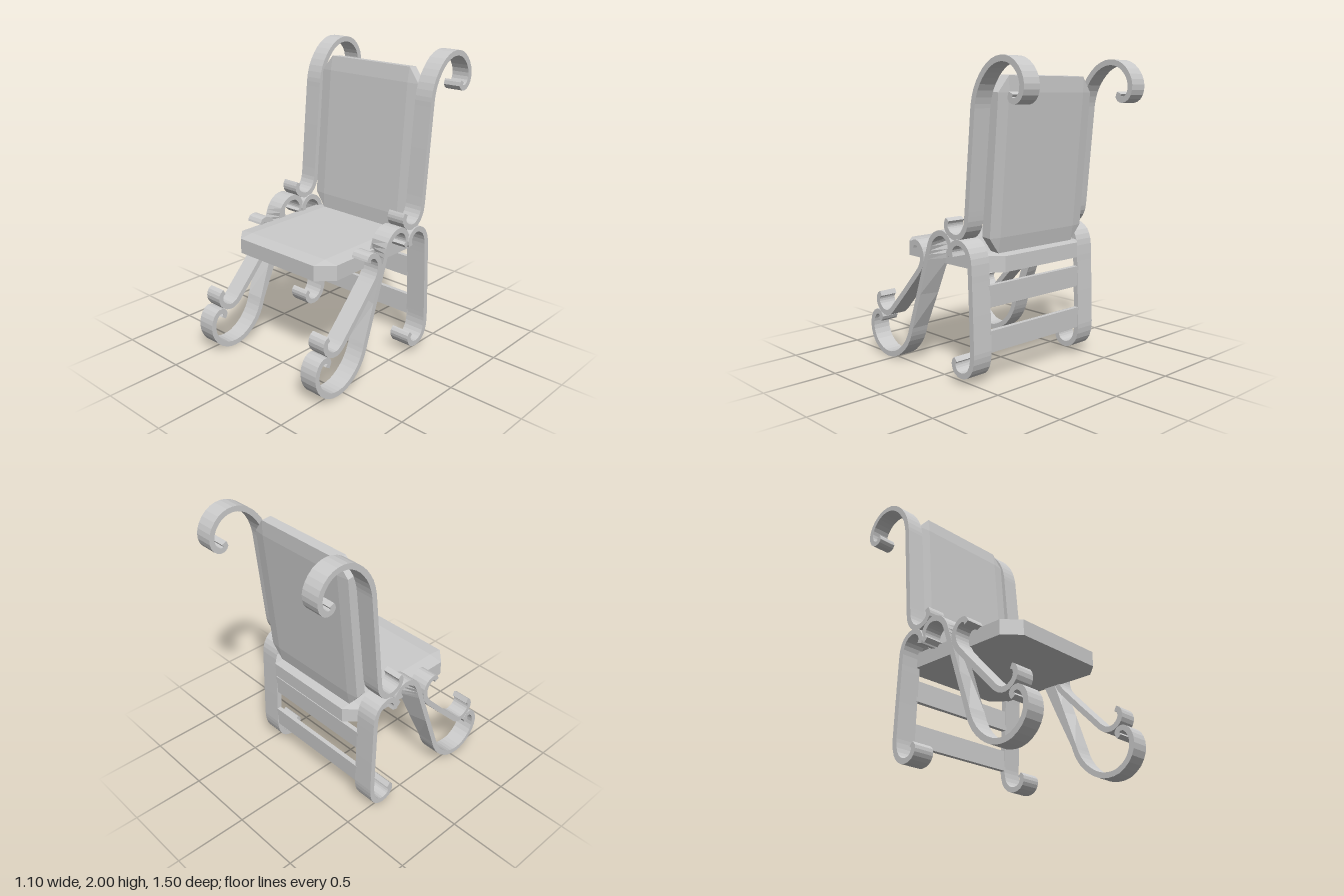
import * as THREE from 'three';
import { ConvexGeometry } from 'three/addons/geometries/ConvexGeometry.js';

const material = new THREE.MeshStandardMaterial({ color: 0xcccccc, flatShading: true });

// Scrolled flat bar: centreline given as [z, y], extruded across x
function barGeometry(points, x0, x1, thickness = 0.036) {
  const curve = new THREE.CatmullRomCurve3(
    points.map(([z, y]) => new THREE.Vector3(z, y, 0)), false, 'centripetal');
  const n = (points.length - 1) * 2;
  const sideA = [], sideB = [];
  for (let i = 0; i <= n; i++) {
    const p = curve.getPoint(i / n);
    const t = curve.getTangent(i / n);
    const ox = -t.y * thickness / 2, oy = t.x * thickness / 2;
    sideA.push(new THREE.Vector2(p.x + ox, p.y + oy));
    sideB.unshift(new THREE.Vector2(p.x - ox, p.y - oy));
  }
  const shape = new THREE.Shape([...sideA, ...sideB]);
  const geo = new THREE.ExtrudeGeometry(shape, { depth: x1 - x0, bevelEnabled: false });
  geo.rotateY(-Math.PI / 2);
  geo.translate(x1, 0, 0);
  return geo;
}

// Octagonal slab whose faces fall away slightly towards the rim
function cushion(name, hx, hz, cutX, cutZ, thick, rim) {
  const pts = [];
  for (const sx of [-1, 1]) for (const sz of [-1, 1]) for (const sy of [-0.5, 0.5]) {
    pts.push(
      new THREE.Vector3(sx * (hx - cutX), sy * thick, sz * (hz - cutZ)),
      new THREE.Vector3(sx * hx, sy * rim, sz * (hz - cutZ)),
      new THREE.Vector3(sx * (hx - cutX), sy * rim, sz * hz));
  }
  const mesh = new THREE.Mesh(new ConvexGeometry(pts), material);
  mesh.name = name;
  return mesh;
}

const backPost = [
  [-0.648, 1.79], [-0.636, 1.765], [-0.655, 1.747], [-0.69, 1.75], [-0.722, 1.785],
  [-0.73, 1.84], [-0.71, 1.9], [-0.66, 1.955], [-0.6, 1.98], [-0.53, 1.978],
  [-0.46, 1.945], [-0.4, 1.885], [-0.355, 1.81], [-0.332, 1.73], [-0.325, 1.67],
  [-0.275, 1.13], [-0.268, 1.06], [-0.258, 1.0], [-0.23, 0.95], [-0.19, 0.922],
  [-0.145, 0.92], [-0.1, 0.94], [-0.078, 0.97], [-0.078, 1.0], [-0.09, 1.022],
];
const frontLeg = [
  [-0.086, 0.805], [-0.108, 0.825], [-0.11, 0.86], [-0.09, 0.9], [-0.055, 0.925],
  [-0.01, 0.928], [0.035, 0.91], [0.075, 0.87], [0.1, 0.81], [0.12, 0.75],
  [0.29, 0.26], [0.31, 0.2], [0.35, 0.13], [0.41, 0.07], [0.48, 0.03], [0.55, 0.018],
  [0.62, 0.03], [0.69, 0.08], [0.727, 0.15], [0.73, 0.215], [0.71, 0.265],
  [0.675, 0.292], [0.64, 0.285], [0.628, 0.265], [0.644, 0.24],
];
const brace = [
  [0.272, 0.805], [0.26, 0.83], [0.23, 0.837], [0.195, 0.82], [0.17, 0.78],
  [0.167, 0.73], [0.185, 0.68], [0.22, 0.635], [0.475, 0.365], [0.515, 0.325],
  [0.56, 0.303], [0.61, 0.31], [0.65, 0.345], [0.66, 0.385], [0.648, 0.415], [0.628, 0.425],
];
const backLeg = [
  [-0.135, 0.795], [-0.127, 0.83], [-0.145, 0.868], [-0.185, 0.892], [-0.23, 0.887],
  [-0.275, 0.855], [-0.3, 0.8], [-0.307, 0.73], [-0.31, 0.66], [-0.325, 0.25],
  [-0.325, 0.19], [-0.31, 0.12], [-0.275, 0.075], [-0.225, 0.058], [-0.175, 0.072],
  [-0.153, 0.105], [-0.152, 0.135], [-0.17, 0.152],
];

// Inner edge of the front leg drifts backwards as it rises
function skewFrontLeg(geo) {
  const p = geo.attributes.position;
  for (let i = 0; i < p.count; i++) {
    const y = p.getY(i), z = p.getZ(i);
    if (Math.abs(p.getX(i)) > 0.48 || z < 0.05 || z > 0.36 || y > 0.87) continue;
    const t = THREE.MathUtils.clamp((y - 0.26) / 0.44, 0, 1);
    const fade = THREE.MathUtils.clamp((0.87 - y) / 0.1, 0, 1);
    p.setZ(i, z - 0.055 * t * fade);
  }
  geo.computeVertexNormals();
  return geo;
}

export function createModel() {
  const model = new THREE.Group();
  model.name = 'scrollChair';

  // Scrolled side frames
  for (const side of [1, -1]) {
    const frame = new THREE.Group();
    frame.name = side > 0 ? 'leftFrame' : 'rightFrame';
    const add = (name, path, inner, outer) => {
      const [a, b] = side > 0 ? [inner, outer] : [-outer, -inner];
      const geo = barGeometry(path, a, b);
      const mesh = new THREE.Mesh(name === 'frontLeg' ? skewFrontLeg(geo) : geo, material);
      mesh.name = name;
      frame.add(mesh);
    };
    add('backPost', backPost, 0.415, 0.54);
    add('frontLeg', frontLeg, 0.415, 0.54);
    add('brace', brace, 0.415, 0.54);
    add('backLeg', backLeg, 0.405, 0.55);
    model.add(frame);
  }

  // Seat
  const seat = cushion('seat', 0.43, 0.465, 0.1, 0.1, 0.124, 0.1);
  seat.position.set(0, 0.758, 0.075);
  model.add(seat);

  // Leaning backrest
  const backrest = cushion('backrest', 0.412, 0.54, 0.08, 0.1, 0.088, 0.068);
  backrest.rotation.x = Math.PI / 2 - 0.085;
  backrest.position.set(0, 1.358, -0.34);
  // Lean: top goes towards the rear
  backrest.rotation.x = Math.PI / 2 - 0.085;
  model.add(backrest);

  // Rails between the back legs
  for (const [y, z] of [[0.557, -0.314], [0.272, -0.324]]) {
    const rail = new THREE.Mesh(new THREE.BoxGeometry(0.83, 0.14, 0.03), material);
    rail.name = 'backRail';
    rail.rotation.x = -0.035;
    rail.position.set(0, y, z);
    model.add(rail);
  }
  return model;
}
